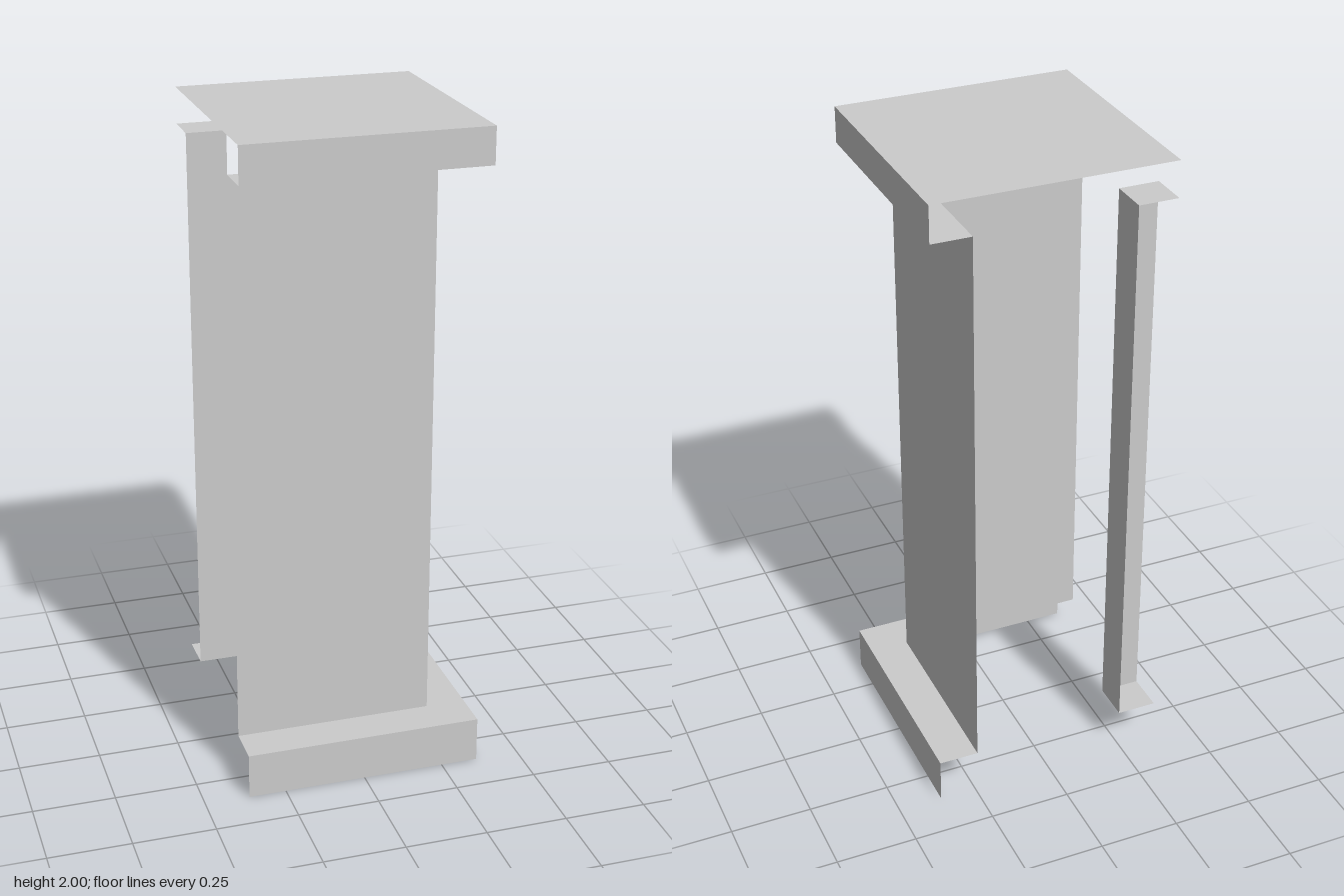
import * as THREE from 'three';

const R = 0.364;      // half width of cap and base
const S = 0.242;      // half width of the shaft
const BASE = 0.141;   // top of the base
const CAP = 1.889;    // underside of the cap
const TOP = 2;

export function createModel() {
  const group = new THREE.Group();
  const material = new THREE.MeshStandardMaterial({
    color: 0xcccccc, flatShading: true, side: THREE.DoubleSide,
  });
  const add = (name, geometry) => {
    const mesh = new THREE.Mesh(geometry, material);
    mesh.name = name;
    group.add(mesh);
  };

  // upright panel facing +z at depth z
  const frontPanel = (name, x0, x1, y0, y1, z) =>
    add(name, new THREE.PlaneGeometry(x1 - x0, y1 - y0)
      .translate((x0 + x1) / 2, (y0 + y1) / 2, z));

  // upright panel facing +x at position x
  const sidePanel = (name, z0, z1, y0, y1, x) =>
    add(name, new THREE.PlaneGeometry(z1 - z0, y1 - y0)
      .rotateY(Math.PI / 2).translate(x, (y0 + y1) / 2, (z0 + z1) / 2));

  // level sheet from an [x, z] outline
  const sheet = (name, outline, y) => {
    const shape = new THREE.Shape(outline.map(([x, z]) => new THREE.Vector2(x, -z)));
    add(name, new THREE.ShapeGeometry(shape).rotateX(-Math.PI / 2).translate(0, y, 0));
  };

  // L-shaped ledge outside the two shaft walls
  const ledge = [[-R, R], [R, R], [R, -R], [S, -R], [S, S], [-R, S]];
  // small square in the open back corner
  const corner = [[-R, -S], [-S, -S], [-S, -R], [-R, -R]];

  // cap and base trims: outer faces and ledges
  for (const [part, y0, y1, ledgeY] of [['base', 0, BASE, BASE], ['cap', CAP, TOP, CAP]]) {
    frontPanel(part + 'Front', -R, R, y0, y1, R);
    sidePanel(part + 'Side', -R, R, y0, y1, R);
    sheet(part + 'Ledge', ledge, ledgeY);
    sheet(part + 'CornerLedge', corner, ledgeY);
  }
  sheet('capTop', [[-R, R], [R, R], [R, -R], [-R, -R]], TOP);

  // shaft walls, open at the back
  frontPanel('shaftFront', -R, S, BASE, CAP, S);
  sidePanel('shaftSide', -R, S, BASE, CAP, S);

  // narrow post in the back corner
  frontPanel('cornerPostFront', -R, -S, BASE, CAP, -S);
  sidePanel('cornerPostSide', -R, -S, BASE, CAP, -S);

  return group;
}
